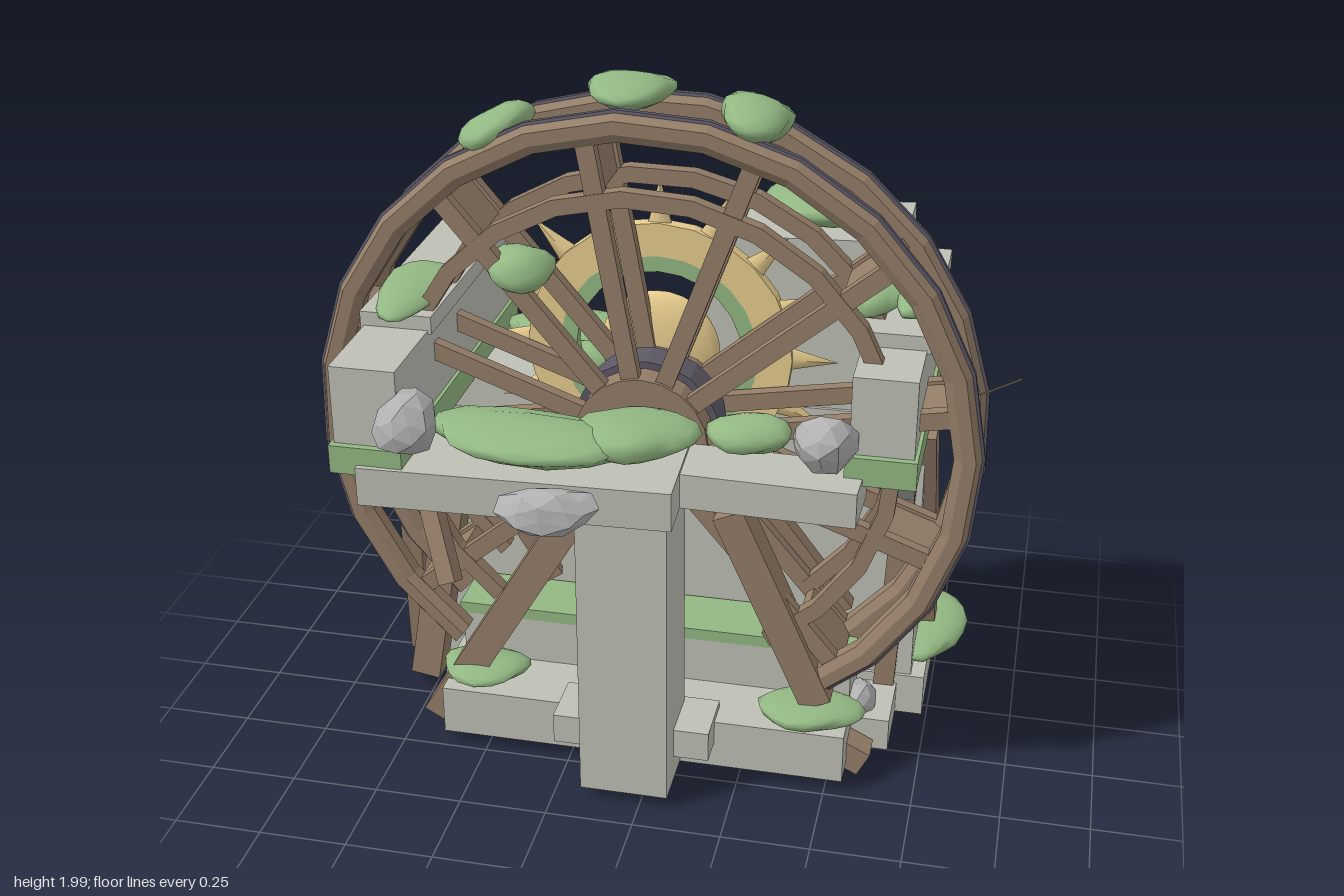
import * as THREE from 'three';
import { mergeVertices } from 'three/addons/utils/BufferGeometryUtils.js';

const mat = (name, color, opts = {}) => Object.assign(new THREE.MeshStandardMaterial({ color, ...opts }), { name });

export function createModel() {
  const root = new THREE.Group();
  root.name = 'ruinedWaterWheel';
  const stone = mat('stone', 0xbec0b6);
  const darkStone = mat('darkStone', 0x73756f);
  const wood = mat('wood', 0x947e69, { flatShading: true, side: THREE.DoubleSide });
  const iron = mat('iron', 0x5c5866, { flatShading: true, side: THREE.DoubleSide });
  const gold = mat('gold', 0xeacf90);
  const leaf = mat('leaf', 0x93b883);
  const rock = mat('rock', 0xb0b1b0, { flatShading: true });

  const add = (name, geo, m, parent = root) => {
    const mesh = new THREE.Mesh(geo, m);
    mesh.name = name;
    parent.add(mesh);
    return mesh;
  };
  // box given by its limits on each axis
  const block = (name, x0, x1, y0, y1, z0, z1, m = stone) => {
    const b = add(name, new THREE.BoxGeometry(x1 - x0, y1 - y0, z1 - z0), m);
    b.position.set((x0 + x1) / 2, (y0 + y1) / 2, (z0 + z1) / 2);
    return b;
  };
  // timber running between two points
  const timber = (name, a, b, w, d = w, parent = root) => {
    const p = new THREE.Vector3(...a), q = new THREE.Vector3(...b);
    const t = add(name, new THREE.BoxGeometry(w, p.distanceTo(q), d), wood, parent);
    t.position.copy(p).add(q).multiplyScalar(0.5);
    t.quaternion.setFromUnitVectors(new THREE.Vector3(0, 1, 0), q.sub(p).normalize());
  };
  // lumpy ellipsoid for bushes and boulders
  const lump = (name, c, r, m, detail, rough, tilt = 0) => {
    let g = new THREE.IcosahedronGeometry(1, detail);
    g.deleteAttribute('uv');
    g.deleteAttribute('normal');
    g = mergeVertices(g);
    const p = g.attributes.position, s = c[0] * 17 + c[2] * 9;
    for (let i = 0; i < p.count; i++) {
      const x = p.getX(i), y = p.getY(i), z = p.getZ(i);
      const k = 1 + rough * Math.sin(3 * x + s) * Math.cos(2.6 * z - s) + rough * 0.5 * Math.sin(4 * y + 3 * z + s);
      p.setXYZ(i, x * k, y * k, z * k);
    }
    g.scale(...r);
    g.computeVertexNormals();
    const l = add(name, g, m);
    l.position.set(...c);
    l.rotation.z = tilt;
  };

  // Base and rear building
  block('frontPlinth', -0.63, 0.55, 0.04, 0.19, 0.03, 0.23);
  block('foundation', -0.68, 0.66, 0.04, 0.14, -0.53, 0.05);
  block('footing', -0.27, 0.18, 0.12, 0.21, 0.15, 0.32);
  block('channelSill', -0.62, 0.54, 0.1, 0.33, -0.15, 0.03);
  block('channelMoss', -0.63, 0.55, 0.33, 0.365, -0.15, 0.03, leaf);
  block('rearBody', -0.72, 0.64, 0.1, 0.95, -0.47, -0.16);
  block('cornice', -0.8, 0.7, 0.93, 1.03, -0.59, -0.14);
  for (const [x0, x1] of [[-0.78, -0.56], [0.5, 0.7]]) {
    block('cornerPillar', x0, x1, 0.1, 0.93, -0.5, -0.16);
    block('cornerPlinth', x0 - 0.04, x1 + 0.04, 0.04, 0.17, -0.55, -0.15);
  }
  block('leftCorbel', 0.43, 0.68, 0.78, 0.89, -0.17, -0.12, darkStone);
  block('rightCorbel', -0.78, -0.55, 0.78, 0.89, -0.17, -0.12, darkStone);

  // Side parapets with mossy courses
  for (const [x0, x1, zf] of [[-0.8, -0.62, 0.47], [0.53, 0.7, 0.25]]) {
    block('mossCourse', x0 - 0.01, x1 + 0.01, 1.02, 1.1, -0.6, zf + 0.02, leaf);
    block('parapet', x0, x1, 1.1, 1.32, -0.58, zf);
  }
  block('rightCap', -0.81, -0.61, 1.31, 1.36, -0.59, 0.2);
  block('leftCap', 0.52, 0.71, 1.31, 1.36, -0.59, 0.05);

  // Tower block on the rear terrace
  block('towerBlock', 0.06, 0.6, 1.03, 1.46, -0.5, -0.15);
  block('towerTop', 0.14, 0.61, 1.45, 1.53, -0.47, -0.15).rotation.z = 0.04;

  // Front column and broken lintels
  block('frontColumn', -0.17, 0.08, 0.04, 0.95, 0.17, 0.41);
  block('longLintel', -0.74, 0.1, 0.94, 1.05, 0.18, 0.49).rotation.y = 0.04;
  block('shortLintel', 0.07, 0.57, 0.94, 1.04, 0.17, 0.35).rotation.y = -0.03;

  // Wheel: two open rims joined by spokes and paddles
  const wheel = new THREE.Group();
  wheel.name = 'wheel';
  wheel.position.set(-0.045, 1.03, 0);
  root.add(wheel);
  // lathed arc about z, angles in degrees from +x
  const arc = (name, profile, z, m, from, to) => {
    const pts = profile.map(([r, h]) => new THREE.Vector2(r, h));
    const n = Math.round((to - from) / 15);
    const g = new THREE.LatheGeometry(pts, n, THREE.MathUtils.degToRad(from + 90), THREE.MathUtils.degToRad(to - from));
    add(name, g.rotateX(Math.PI / 2), m, wheel).position.z = z;
  };
  const rim = [[0.84, -0.02], [0.865, -0.037], [0.9, -0.037], [0.914, -0.012], [0.914, 0.012], [0.9, 0.037], [0.865, 0.037], [0.84, 0.02], [0.84, -0.02]];
  const tyre = [[0.908, -0.013], [0.922, -0.008], [0.922, 0.008], [0.908, 0.013]];
  const inner = [[0.665, -0.02], [0.71, -0.02], [0.71, 0.02], [0.665, 0.02], [0.665, -0.02]];
  const rims = [[0.137, -59, 232], [-0.063, -50, 228]];
  for (const [z, a0, a1] of rims) {
    arc('rim', rim, z, wood, a0, a1);
    arc('rimTyre', tyre, z, iron, a0, a1);
    arc('innerRim', inner, z, wood, a0, a1);
  }
  const polar = (r, deg, z) => [r * Math.cos(deg * Math.PI / 180), r * Math.sin(deg * Math.PI / 180), z];
  for (let deg = -50; deg < 232; deg += 30) {
    for (const [z] of rims) timber('spoke', polar(0.14, deg, z), polar(0.87, deg, z), 0.05, 0.035, wheel);
    const paddle = add('paddle', new THREE.BoxGeometry(0.17, 0.03, 0.18), wood, wheel);
    paddle.position.set(...polar(0.785, deg, 0.037));
    paddle.rotation.z = deg * Math.PI / 180;
  }
  // Half-round hub resting on the axle
  const hub = (name, r, len, m) => {
    const g = new THREE.CylinderGeometry(r, r, len, 10, 1, false, Math.PI / 2, Math.PI);
    add(name, g.rotateX(Math.PI / 2), m, wheel).position.z = 0.04;
  };
  hub('hub', 0.185, 0.25, wood);
  hub('hubBand', 0.205, 0.1, iron);
  block('axle', -0.13, 0.03, 0.98, 1.08, -0.34, 0.18, wood);

  // Sun emblem: ball, green ring, gold ring and rays
  const sun = new THREE.Group();
  sun.name = 'sun';
  sun.position.set(-0.05, 1.19, -0.108);
  root.add(sun);
  const ring = (name, ri, ro, depth, m) => {
    const s = new THREE.Shape().absarc(0, 0, ro, 0, Math.PI * 2);
    s.holes.push(new THREE.Path().absarc(0, 0, ri, 0, Math.PI * 2, true));
    add(name, new THREE.ExtrudeGeometry(s, { depth, bevelEnabled: false, curveSegments: 12 }).translate(0, 0, -depth / 2), m, sun);
  };
  ring('sunRing', 0.28, 0.375, 0.04, gold);
  ring('sunGreenRing', 0.235, 0.28, 0.04, leaf);
  add('sunBall', new THREE.SphereGeometry(0.17, 24, 16).scale(1, 1, 0.3), gold, sun);
  for (let i = 0; i < 16; i++) {
    const ray = add('sunRay', new THREE.ConeGeometry(0.035, 0.14, 4).scale(1, 1, 0.4), gold, sun);
    const a = i * Math.PI / 8;
    ray.position.set(-Math.sin(a) * 0.43, Math.cos(a) * 0.43, 0);
    ray.rotation.z = a;
  }

  // Leaning props and braces
  timber('frontBrace', [-0.67, 0.05, 0.13], [-0.17, 0.9, 0.14], 0.09);
  timber('frontBrace', [0.46, 0.25, 0.13], [0.2, 0.84, 0.14], 0.09);
  timber('rightProp', [-0.84, 0.04, -0.42], [-0.82, 0.98, -0.13], 0.07);
  timber('rightProp', [-0.78, 0.04, -0.08], [-0.66, 0.8, -0.12], 0.09);
  timber('rightProp', [-0.84, 0.05, -0.2], [-0.81, 0.96, -0.08], 0.06);
  timber('leftProp', [0.72, 0.08, -0.46], [0.71, 0.6, -0.31], 0.06, 0.08);
  timber('leftProp', [0.71, 0.58, -0.31], [0.7, 0.99, -0.16], 0.06, 0.08);
  timber('leftProp', [0.62, 0.1, -0.16], [0.66, 0.98, -0.15], 0.06, 0.05);
  timber('timberStub', [0.5, 0.09, 0.1], [0.6, 0.04, 0.1], 0.08);
  timber('hangingStick', [-0.6, 0.98, 0.36], [-0.5, 0.71, 0.47], 0.05);
  timber('innerBrace', [-0.6, 0.8, -0.1], [-0.38, 0.4, -0.13], 0.05);
  timber('innerBrace', [0.5, 0.4, -0.13], [0.25, 0.75, -0.1], 0.05);
  timber('twig', [0.82, 1.19, 0.04], [0.95, 1.26, 0.04], 0.004);

  // Bushes
  const bushes = [
    [-0.46, 1.85, 0.04, 0.1, 0.045, 0.12, 0.45], [-0.11, 1.96, -0.01, 0.12, 0.035, 0.14], [0.23, 1.92, 0.03, 0.1, 0.045, 0.15, -0.2],
    [0.37, 1.58, -0.31, 0.18, 0.042, 0.16], [-0.38, 1.49, 0.12, 0.095, 0.06, 0.09], [-0.7, 1.385, 0.07, 0.09, 0.025, 0.21],
    [0.65, 1.4, -0.17, 0.06, 0.035, 0.2], [0.53, 1.4, -0.1, 0.09, 0.035, 0.1], [-0.3, 1.1, 0.33, 0.3, 0.045, 0.15], [-0.03, 1.12, 0.29, 0.15, 0.045, 0.13],
    [0.25, 1.09, 0.17, 0.11, 0.05, 0.08], [-0.31, 1.1, -0.36, 0.28, 0.06, 0.12], [-0.29, 1.1, -0.18, 0.09, 0.05, 0.06],
    [-0.53, 0.22, 0.13, 0.13, 0.03, 0.1], [0.44, 0.22, 0.15, 0.14, 0.03, 0.1], [0.73, 0.2, -0.4, 0.1, 0.03, 0.2],
  ];
  for (const [x, y, z, a, b, c, t] of bushes) lump('bush', [x, y, z], [a, b, c], leaf, 2, 0.14, t);

  // Fallen boulders
  const boulders = [
    [-0.6, 1.18, 0.47, 0.085, 0.085, 0.1], [-0.21, 1.0, 0.535, 0.14, 0.065, 0.065],
    [0.47, 1.15, 0.3, 0.09, 0.07, 0.085], [0.56, 0.15, -0.03, 0.05, 0.05, 0.08],
  ];
  for (const [x, y, z, a, b, c] of boulders) lump('boulder', [x, y, z], [a, b, c], rock, 1, 0.15, 0.15);

  return root;
}
